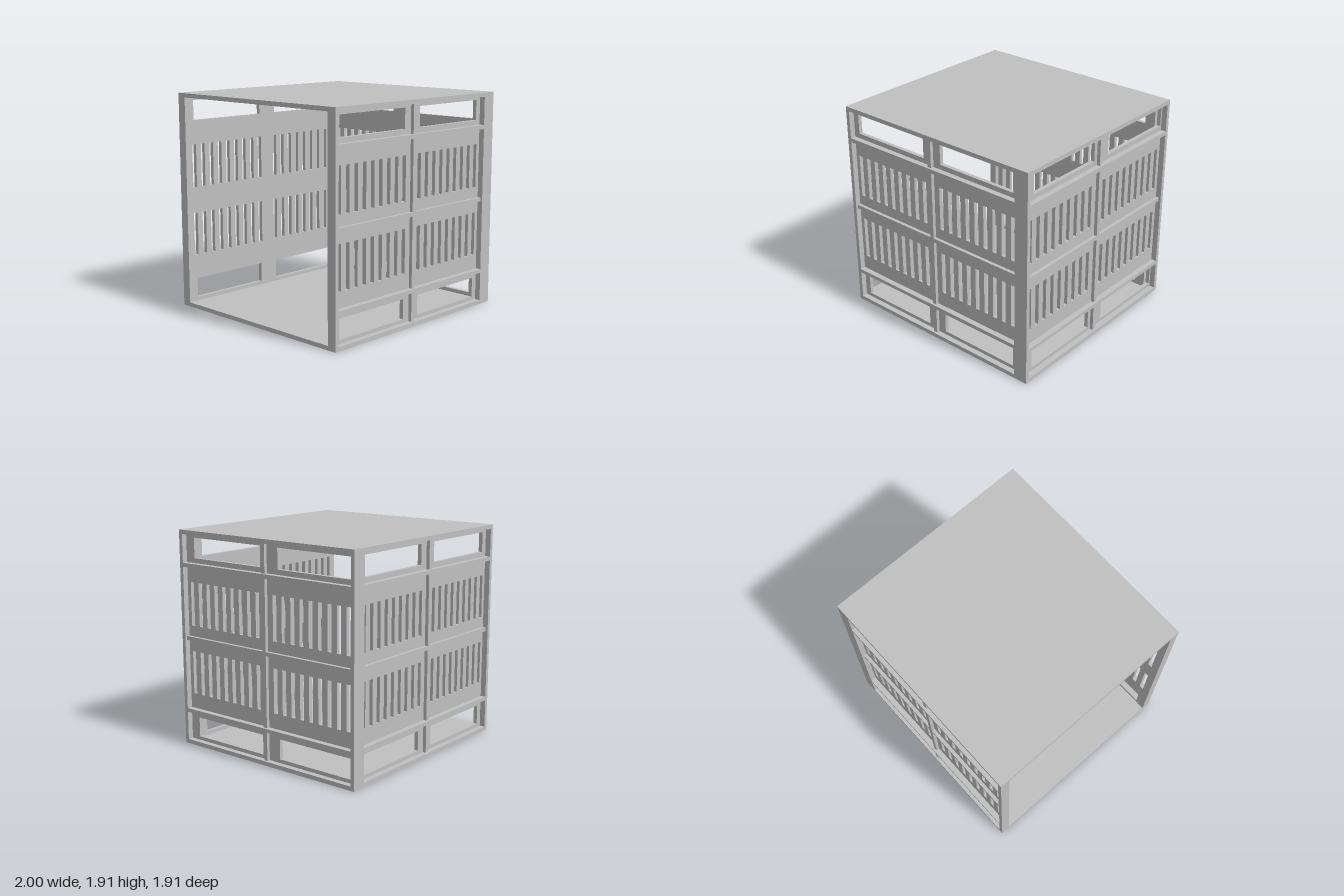
import * as THREE from 'three';

const W = 2, H = 1.915, D = 1.91;     // overall size
const SLAB = 0.037;                   // floor and roof thickness
const WALL = 0.085, RECESS = 0.05, RIB_RECESS = 0.02;

export function createModel() {
  const grey = new THREE.MeshStandardMaterial({ color: 0xc0c0c0 });
  grey.name = 'plain grey';
  const model = new THREE.Group();
  model.name = 'ventilatedBox';

  function add(parent, name, geometry, x, y, z) {
    const mesh = new THREE.Mesh(geometry, grey);
    mesh.name = name;
    mesh.position.set(x, y, z);
    parent.add(mesh);
  }

  // Box from u/y extents and the depths of its front and back below the wall face
  function bar(parent, name, u0, u1, y0, y1, front, back) {
    add(parent, name, new THREE.BoxGeometry(u1 - u0, y1 - y0, back - front),
      (u0 + u1) / 2, (y0 + y1) / 2, -(front + back) / 2);
  }

  function rect(Type, u0, u1, y0, y1) {
    const p = new Type();
    p.moveTo(u0, y0);
    p.lineTo(u1, y0);
    p.lineTo(u1, y1);
    p.lineTo(u0, y1);
    p.closePath();
    return p;
  }

  // One wall, outer face on local z = 0
  function wall(name, { ends, inner, rib, windows, slots }) {
    const g = new THREE.Group();
    g.name = name;
    const y0 = SLAB, y1 = H - SLAB;

    // recessed panel with windows and vent slots
    const panel = rect(THREE.Shape, inner[0], inner[1], y0, y1);
    for (const [a, b] of windows) {
      panel.holes.push(rect(THREE.Path, a, b, 0.07, 0.245));
      panel.holes.push(rect(THREE.Path, a, b, 1.673, 1.85));
    }
    for (const first of slots) {
      for (let i = 0; i < 9; i++) {
        const c = first + i * 0.0957;
        panel.holes.push(rect(THREE.Path, c - 0.0205, c + 0.0205, 0.46, 0.845));
        panel.holes.push(rect(THREE.Path, c - 0.0205, c + 0.0205, 1.075, 1.46));
      }
    }
    add(g, 'ventPanel', new THREE.ExtrudeGeometry(panel, { depth: WALL - RECESS, bevelEnabled: false }), 0, 0, -WALL);

    // end posts and the two main rails
    bar(g, 'endPost', ends[0], inner[0], y0, y1, 0, WALL);
    bar(g, 'endPost', inner[1], ends[1], y0, y1, 0, WALL);
    bar(g, 'mainRail', inner[0], inner[1], 0.293, 0.326, 0, RECESS);
    bar(g, 'mainRail', inner[0], inner[1], 1.595, 1.63, 0, RECESS);

    // thinner middle ribs
    bar(g, 'middleRib', inner[0], inner[1], 0.945, 0.98, RIB_RECESS, RECESS);
    for (const [a, b] of [[y0, 0.293], [0.326, 0.945], [0.98, 1.595], [1.63, y1]])
      bar(g, 'uprightRib', rib[0], rib[1], a, b, RIB_RECESS, RECESS);

    model.add(g);
    return g;
  }

  const flip = ([a, b]) => [-b, -a];
  const front = {
    ends: [-W / 2, W / 2 - WALL], inner: [-0.965, 0.872], rib: [-0.065, -0.028],
    windows: [[-0.908, -0.139], [0.048, 0.818]], slots: [-0.909, 0.048],
  };
  const back = {
    ends: flip(front.ends), inner: flip(front.inner), rib: flip(front.rib),
    windows: front.windows.map(flip), slots: front.slots.map((s) => -s - 8 * 0.0957),
  };
  const side = {
    ends: [-D / 2, D / 2], inner: [-0.92, 0.92], rib: [-0.019, 0.017],
    windows: [[-0.826, -0.056], [0.133, 0.904]], slots: [-0.862, 0.095],
  };

  // Three walls; the -x side stays open
  wall('frontWall', front).position.z = D / 2;
  const backWall = wall('backWall', back);
  backWall.position.z = -D / 2;
  backWall.rotation.y = Math.PI;
  const sideWall = wall('sideWall', side);
  sideWall.position.x = W / 2;
  sideWall.rotation.y = Math.PI / 2;

  // Floor and roof
  add(model, 'floor', new THREE.BoxGeometry(W, SLAB, D), 0, SLAB / 2, 0);
  add(model, 'roof', new THREE.BoxGeometry(W, SLAB, D), 0, H - SLAB / 2, 0);

  return model;
}
